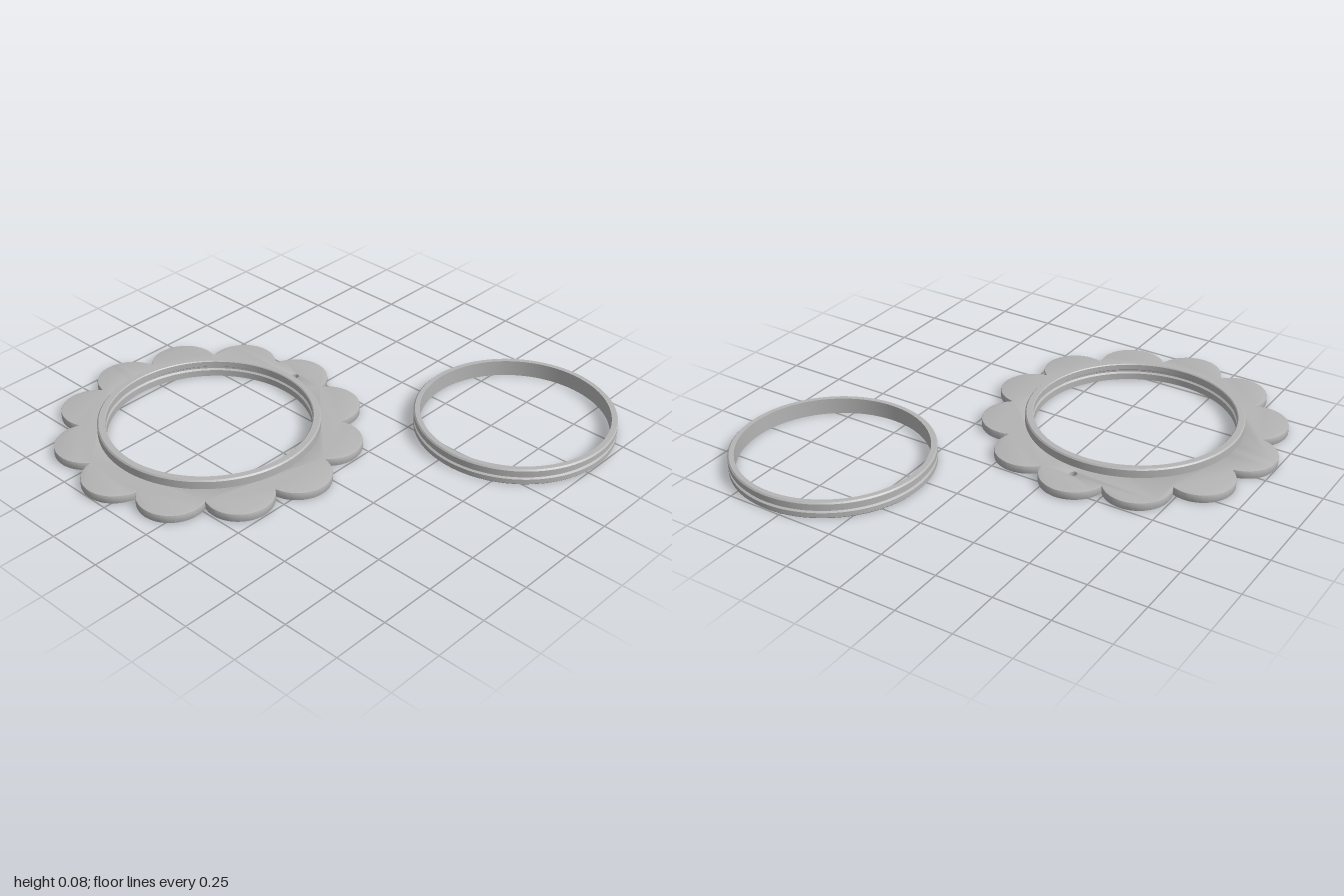
import * as THREE from 'three';
import { toCreasedNormals } from 'three/addons/utils/BufferGeometryUtils.js';

const grey = new THREE.MeshStandardMaterial({ color: 0xb4b4b4 });
grey.name = 'grey';

function part(name, geometry) {
  const mesh = new THREE.Mesh(toCreasedNormals(geometry, 0.4), grey);
  mesh.name = name;
  return mesh;
}

// Turned ring from a closed [radius, height] section: up the outside, down the inside
function turned(name, section) {
  const points = [...section, section[0]].map(([r, y]) => new THREE.Vector2(r, y));
  return part(name, new THREE.LatheGeometry(points, 128));
}

function circleHole(x, y, r) {
  return new THREE.Path().absarc(x, y, r, 0, Math.PI * 2, true);
}

// Flat plate with a scalloped rim of round petals
function petalPlate() {
  const count = 12, reach = 0.513, r = 0.144, height = 0.037, bevel = 0.004;
  const half = Math.PI / count;
  const cusp = reach * Math.cos(half) + Math.sqrt(r * r - (reach * Math.sin(half)) ** 2);
  const sweep = Math.atan2(cusp * Math.sin(half), cusp * Math.cos(half) - reach);
  const shape = new THREE.Shape();
  for (let i = 0; i < count; i++) {
    const a = i * 2 * half;
    shape.absarc(reach * Math.cos(a), reach * Math.sin(a), r, a - sweep, a + sweep, false);
  }
  shape.holes.push(circleHole(0, 0, 0.458), circleHole(0, 0.515, 0.016));
  const geometry = new THREE.ExtrudeGeometry(shape, {
    depth: height - 2 * bevel, curveSegments: 32,
    bevelThickness: bevel, bevelSize: bevel, bevelOffset: -bevel, bevelSegments: 2,
  });
  geometry.translate(0, 0, bevel).rotateX(-Math.PI / 2);
  return part('petalPlate', geometry);
}

export function createModel() {
  const model = new THREE.Group();

  // Flower frame: petals plus a raised collar, grooved inside
  const frame = new THREE.Group();
  frame.name = 'flowerFrame';
  frame.position.set(-0.343, 0, 0.343);
  frame.add(petalPlate());
  frame.add(turned('collar', [
    [0.47, 0], [0.47, 0.071], [0.464, 0.077], [0.439, 0.077], [0.435, 0.073],
    [0.435, 0.049], [0.443, 0.043], [0.443, 0.035], [0.435, 0.029], [0.435, 0],
  ]));
  model.add(frame);

  // Separate inner hoop with a groove around the outside
  const hoop = turned('innerHoop', [
    [0.425, 0], [0.43, 0.005], [0.43, 0.026], [0.421, 0.031], [0.421, 0.036],
    [0.43, 0.042], [0.43, 0.066], [0.424, 0.072], [0.403, 0.072], [0.403, 0],
  ]);
  hoop.position.set(0.57, 0, -0.57);
  model.add(hoop);

  return model;
}
